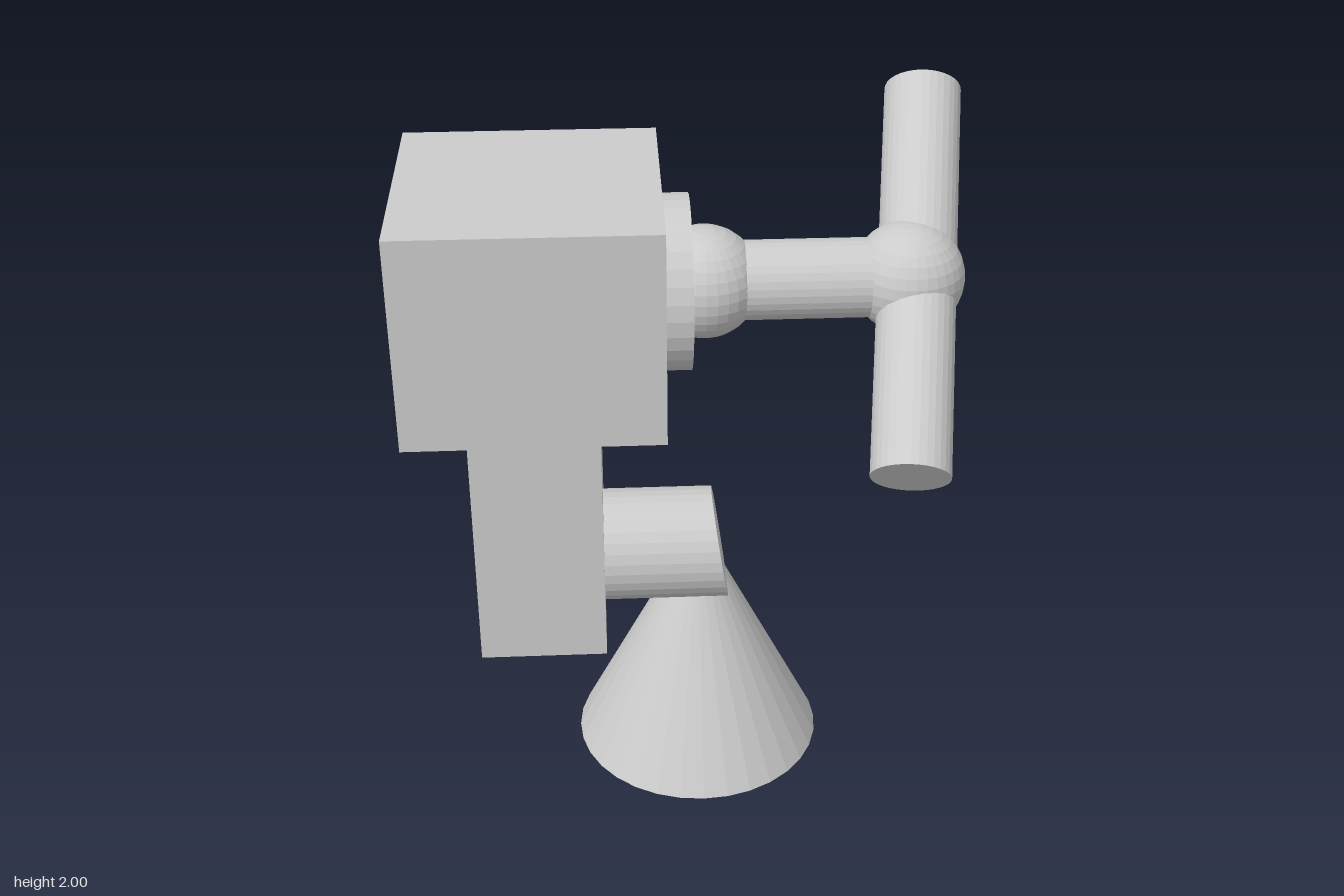
import * as THREE from 'three';

export function createModel() {
  const group = new THREE.Group();
  const grey = new THREE.MeshStandardMaterial({ color: 0xcccccc, flatShading: true });
  const greyThin = new THREE.MeshStandardMaterial({ color: 0xcccccc, flatShading: true, side: THREE.DoubleSide });

  const add = (name, geometry, x = 0, y = 0, z = 0, material = grey) => {
    const mesh = new THREE.Mesh(geometry, material);
    mesh.name = name;
    mesh.position.set(x, y, z);
    group.add(mesh);
    return mesh;
  };
  // Cylinder between two points
  const rod = (name, a, b, radius) => {
    const from = new THREE.Vector3(...a), to = new THREE.Vector3(...b);
    const dir = to.clone().sub(from);
    const mesh = add(name, new THREE.CylinderGeometry(radius, radius, dir.length(), 32));
    mesh.position.copy(from).add(to).multiplyScalar(0.5);
    mesh.quaternion.setFromUnitVectors(new THREE.Vector3(0, 1, 0), dir.normalize());
    return mesh;
  };

  // Housing: solid block above, hollow column below that is open on its -x side
  add('upperBlock', new THREE.BoxGeometry(0.76, 0.655, 0.765), -0.47, 1.5125, -0.0125);
  const column = new THREE.BoxGeometry(0.38, 0.74, 0.765);
  const index = Array.from(column.index.array);
  index.splice(6, 6); // second face of the box is -x
  column.setIndex(index);
  column.clearGroups();
  add('hollowColumn', column, -0.47, 0.815, -0.0125, greyThin);

  // Hub, joints and arm along x
  const y = 1.515, z = -0.005;
  rod('hubDisc', [-0.09, y, z], [-0.008, y, z], 0.26);
  const ball = new THREE.SphereGeometry(0.168, 32, 16);
  add('shoulderJoint', ball, 0.033, y, z);
  rod('arm', [0.03, y, z], [0.635, y, z], 0.118);
  add('endJoint', ball, 0.635, y, z);

  // Slanted cross bar through the end joint
  rod('crossBar', [0.592, 1.125, 0.485], [0.73, 1.912, -0.482], 0.116);

  // Stub running into the column, its ends cut at a slant
  const stub = new THREE.CylinderGeometry(0.17, 0.17, 0.65, 32).rotateZ(-Math.PI / 2);
  const p = stub.attributes.position;
  for (let i = 0; i < p.count; i++) p.setX(i, p.getX(i) - 0.15 * p.getY(i));
  stub.computeVertexNormals();
  add('stub', stub, -0.25, 0.71, 0.165);

  // Conical foot
  add('coneFoot', new THREE.ConeGeometry(0.381, 0.78, 32), 0.008, 0.39, 0.16);

  return group;
}
